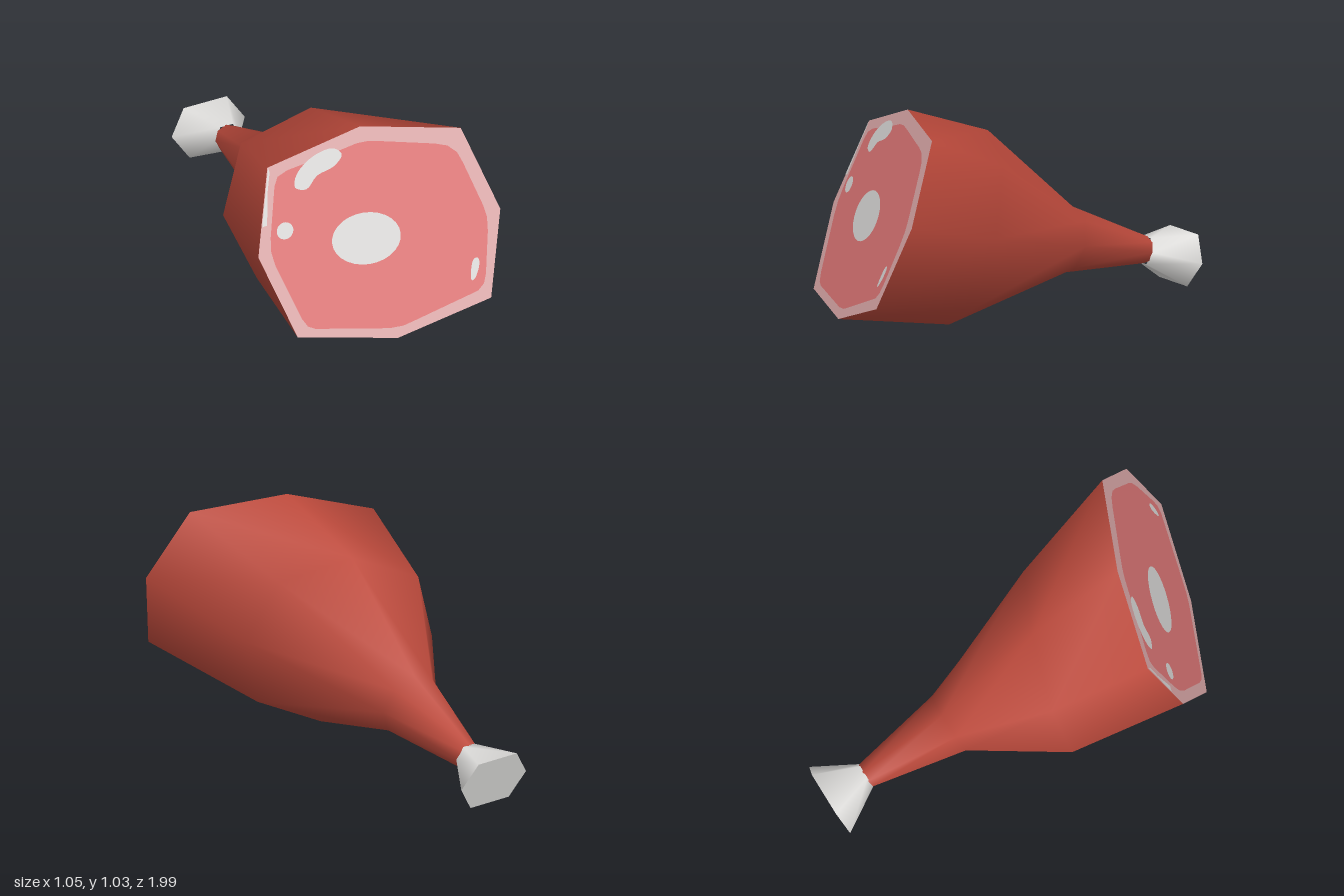
import * as THREE from 'three';

const material = (name, color, side = THREE.FrontSide) => {
  const m = new THREE.MeshStandardMaterial({ color, side });
  m.name = name;
  return m;
};

// Ring of points on a tilted plane, clockwise as seen from the front.
const ring = (sides, start, cx, cy, rx, ry, z, tilt) =>
  Array.from({ length: sides }, (_, i) => {
    const a = start - (i * 2 * Math.PI) / sides;
    const dy = ry * Math.sin(a);
    return [cx + rx * Math.cos(a), cy + dy, z + tilt * dy];
  });

// Smooth skin through rings ordered front to back.
function loft(rings) {
  const n = rings[0].length;
  const index = [];
  for (let r = 0; r < rings.length - 1; r++) {
    for (let i = 0; i < n; i++) {
      const j = (i + 1) % n;
      const a = r * n + i, b = r * n + j, c = a + n, d = b + n;
      index.push(a, b, c, b, d, c);
    }
  }
  const g = new THREE.BufferGeometry();
  g.setAttribute('position', new THREE.Float32BufferAttribute(rings.flat(2), 3));
  g.setIndex(index);
  g.computeVertexNormals();
  return g;
}

// Flat shape laid on the slanted cut, raised by a small offset.
const cutZ = (x, y) => 0.955 + 0.358 * x - 0.4176 * y;
function onCut(shape, lift) {
  const g = new THREE.ShapeGeometry(shape, 10);
  const p = g.attributes.position;
  for (let i = 0; i < p.count; i++) p.setZ(i, cutZ(p.getX(i), p.getY(i)) + lift);
  g.computeVertexNormals();
  return g;
}

const polygon = (pts) => new THREE.Shape(pts.map(([x, y]) => new THREE.Vector2(x, y)));
const blob = (pts) => {
  const curve = new THREE.CatmullRomCurve3(pts.map(([x, y]) => new THREE.Vector3(x, y, 0)), true);
  return new THREE.Shape(curve.getPoints(32).slice(0, -1).map((v) => new THREE.Vector2(v.x, v.y)));
};
const ellipse = (x, y, rx, ry, turn) =>
  new THREE.Shape(new THREE.EllipseCurve(x, y, rx, ry, 0, Math.PI * 2, false, turn).getPoints(28).slice(0, -1));

export function createModel() {
  const group = new THREE.Group();
  const skin = material('roasted skin', 0xbb493b);
  const flesh = material('pink flesh', 0xe07878);
  const fat = material('pale fat', 0xdfacac);
  const bone = material('bone white', 0xdddcda);

  const add = (name, geometry, mat) => {
    const mesh = new THREE.Mesh(geometry, mat);
    mesh.name = name;
    group.add(mesh);
  };

  // Leg: eight-sided rings narrowing from the cut to the shank
  const cut = [[0, 1.03], [0.42, 0.995], [0.525, 0.64], [0.42, 0.265],
    [0, 0.12], [-0.42, 0.15], [-0.525, 0.5], [-0.42, 0.88]];
  const thigh = [[-0.02, 0.865], [0.29, 0.78], [0.39, 0.48], [0.29, 0.15],
    [-0.01, 0.003], [-0.33, 0.09], [-0.44, 0.39], [-0.33, 0.72]];
  const top = Math.PI / 2;
  add('legSkin', loft([
    cut.map(([x, y]) => [x, y, cutZ(x, y)]),
    thigh.map(([x, y]) => [x, y, 0.295 + 0.37 * x - 0.25 * y]),
    ring(8, top, -0.015, 0.298, 0.15, 0.148, -0.355, -0.24),
    ring(8, top, -0.01, 0.19, 0.06, 0.06, -0.785, -0.2),
  ]), skin);

  // Cut face: fat rim, flesh, then bone and marbling
  add('fatRim', onCut(polygon(cut), 0), fat);
  add('cutFlesh', onCut(polygon([
    [-0.09, 0.94], [-0.03, 0.96], [0.02, 0.967], [0.08, 0.962], [0.3, 0.937], [0.35, 0.925],
    [0.385, 0.895], [0.402, 0.85], [0.455, 0.66], [0.462, 0.61], [0.455, 0.55],
    [0.415, 0.37], [0.4, 0.33], [0.37, 0.3], [0.08, 0.19], [0.03, 0.172], [-0.03, 0.165],
    [-0.34, 0.183], [-0.37, 0.195], [-0.39, 0.23], [-0.46, 0.46], [-0.468, 0.52],
    [-0.46, 0.58], [-0.405, 0.8], [-0.385, 0.84], [-0.34, 0.865],
  ]), 0.003), flesh);
  add('cutBone', onCut(ellipse(-0.06, 0.555, 0.15, 0.108, 0.25), 0.006), bone);
  add('largeMarbling', onCut(blob([
    [-0.32, 0.79], [-0.305, 0.845], [-0.22, 0.92], [-0.13, 0.947],
    [-0.1, 0.92], [-0.14, 0.872], [-0.22, 0.835], [-0.275, 0.78],
  ]), 0.006), bone);
  add('smallMarbling', onCut(ellipse(-0.395, 0.61, 0.04, 0.032, 0.8), 0.006), bone);
  add('sideMarbling', onCut(blob([
    [0.35, 0.347], [0.365, 0.355], [0.395, 0.42], [0.392, 0.442], [0.375, 0.438], [0.353, 0.385],
  ]), 0.006), bone);
  add('rimMarbling', onCut(polygon([
    [-0.418, 0.88], [-0.415, 0.86], [-0.44, 0.77], [-0.465, 0.635], [-0.487, 0.63],
  ]), 0.003), bone);

  // Shank bone: six-sided flare with a flat tilted end
  const neck = ring(6, 0, -0.01, 0.19, 0.062, 0.067, -0.78, -0.2);
  const end = ring(6, 0, -0.0125, 0.135, 0.1825, 0.133, -0.97, -0.26);
  for (const p of end) if (Math.abs(p[1] - 0.135) > 0.01) p[0] = -0.0125 + (p[0] + 0.0125) * 1.18;
  add('shankBone', loft([neck, end]), bone);
  const cap = new THREE.BufferGeometry();
  cap.setAttribute('position', new THREE.Float32BufferAttribute(
    end.flatMap((p, i) => [-0.0125, 0.135, -0.97, ...p, ...end[(i + 1) % 6]]), 3));
  cap.computeVertexNormals();
  add('shankBoneEnd', cap, bone);

  return group;
}
